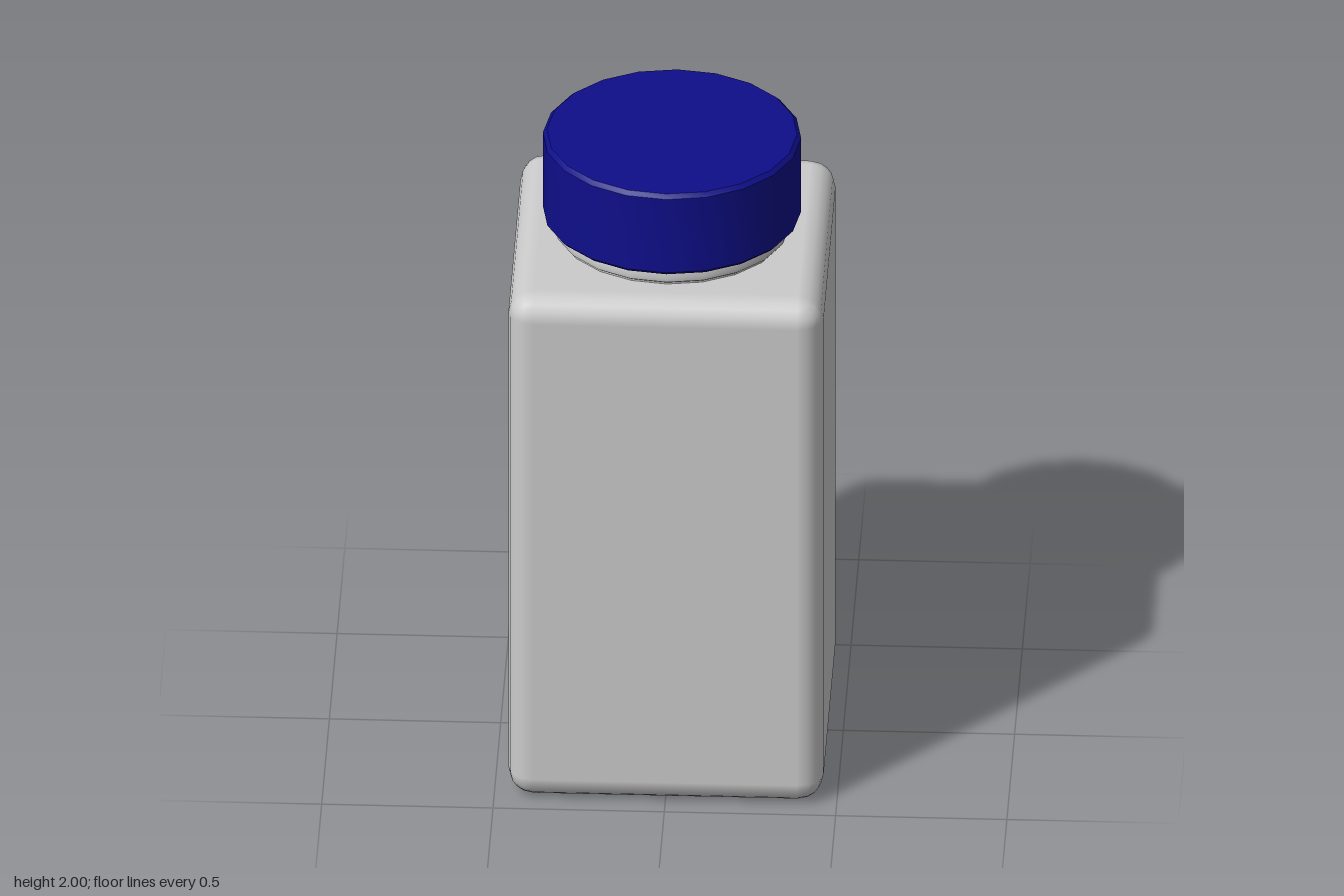
import * as THREE from 'three';
import { toCreasedNormals } from 'three/addons/utils/BufferGeometryUtils.js';
import { RoundedBoxGeometry } from 'three/addons/geometries/RoundedBoxGeometry.js';

const grey = new THREE.MeshStandardMaterial({ color: 0xcccccc });
const blue = new THREE.MeshStandardMaterial({ color: 0x0e0e8a });

// Turned part from [radius, height] pairs listed bottom to top
function turned(name, profile, sides, material) {
  const points = profile.map(([r, y]) => new THREE.Vector2(r, y));
  const geometry = toCreasedNormals(new THREE.LatheGeometry(points, sides), 0.6);
  const mesh = new THREE.Mesh(geometry, material);
  mesh.name = name;
  return mesh;
}

export function createModel() {
  const group = new THREE.Group();
  group.name = 'squareBottle';

  // Square body with rounded edges
  const body = new THREE.Mesh(new RoundedBoxGeometry(0.92, 1.68, 0.92, 2, 0.075), grey);
  body.name = 'body';
  body.position.y = 0.84;
  group.add(body);

  // Neck with a soft collar below the cap
  group.add(turned('neck', [
    [0.335, 1.67], [0.335, 1.685], [0.345, 1.692], [0.348, 1.705],
    [0.345, 1.72], [0.335, 1.728], [0.325, 1.74],
  ], 20, grey));

  // Faceted screw cap with narrow bevels
  group.add(turned('cap', [
    [0, 1.73], [0.365, 1.73], [0.377, 1.742],
    [0.377, 1.988], [0.365, 2], [0, 2],
  ], 20, blue));

  return group;
}
